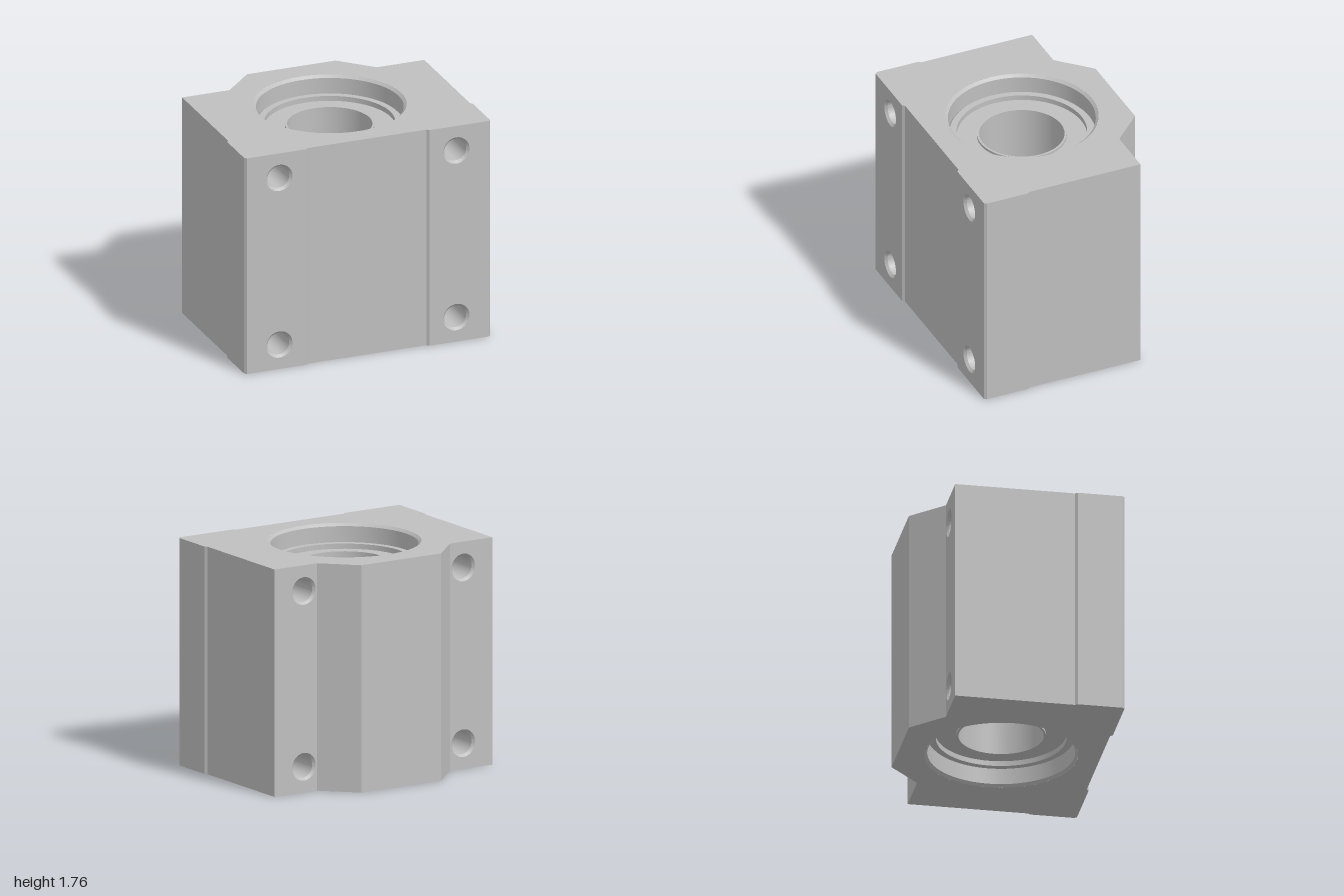
import * as THREE from 'three';
import { toCreasedNormals } from 'three/addons/utils/BufferGeometryUtils.js';

const H = 1.76, FRONT = 0.768, BACK = -0.53, SEG = 72;
const BORE_Z = 0.004, BORE_R = 0.58, HOLE_R = 0.107, HOLE_X = 0.72, HOLE_Y = [0.2, 1.56];

// Right half of the block's plan [x, z], from front to back
const half = [
  [0.485, 0.75], [0.503, FRONT], [0.985, FRONT], [1, 0.75], [1, 0.41],
  [0.985, 0.39], [0.985, BACK], [0.6, BACK], [0.36, -0.77],
];
const outline = [...half, ...half.map(([x, z]) => [-x, z]).reverse()];

const circle = (x, y, r) => new THREE.Path().absarc(x, y, r, 0, Math.PI * 2, true);
const vec = ([x, y]) => new THREE.Vector2(x, y);

// Inner surface of revolution, profile [radius, y] listed from top to bottom
const hollow = (profile) =>
  toCreasedNormals(new THREE.LatheGeometry(profile.map(vec), SEG), 0.5);

// Vertical walls of the block, leaving out the drilled faces
function wallGeometry() {
  const pos = [];
  outline.forEach(([ax, az], i) => {
    const [bx, bz] = outline[(i + 1) % outline.length];
    const drilled = az === bz && (az === FRONT || az === BACK);
    if (drilled) return;
    pos.push(ax, 0, az, bx, 0, bz, bx, H, bz, ax, 0, az, bx, H, bz, ax, H, az);
  });
  const g = new THREE.BufferGeometry();
  g.setAttribute('position', new THREE.Float32BufferAttribute(pos, 3));
  g.computeVertexNormals();
  return g;
}

// End face with the bore opening; dir is 1 for the top, -1 for the bottom
function endGeometry(dir) {
  const shape = new THREE.Shape(outline.map(([x, z]) => new THREE.Vector2(x, -dir * z)));
  shape.holes.push(circle(0, -dir * BORE_Z, BORE_R));
  return new THREE.ShapeGeometry(shape, SEG).rotateX(-dir * Math.PI / 2).translate(0, dir > 0 ? H : 0, 0);
}

// Flange face with two screw holes, centred on the holes' x
function flangeGeometry(x0, x1) {
  const shape = new THREE.Shape([[x0, 0], [x1, 0], [x1, H], [x0, H]].map(vec));
  const cx = Math.sign(x0) * HOLE_X;
  HOLE_Y.forEach((y) => shape.holes.push(circle(cx, y, HOLE_R)));
  return new THREE.ShapeGeometry(shape, SEG / 2);
}

export function createModel() {
  const model = new THREE.Group();
  const metal = new THREE.MeshStandardMaterial({ color: 0xbfbfbf });
  metal.name = 'grey metal';
  const add = (name, geometry) => {
    const mesh = new THREE.Mesh(geometry, metal);
    mesh.name = name;
    model.add(mesh);
    return mesh;
  };

  add('blockWalls', wallGeometry());
  add('blockTop', endGeometry(1));
  add('blockBottom', endGeometry(-1));

  // Bore with a recessed bearing at each end: [radius, depth]
  const end = [
    [BORE_R, 0], [0.558, 0.02], [0.558, 0.155], [0.543, 0.14], [0.493, 0.14],
    [0.493, 0.18], [0.339, 0.18], [0.339, 0.16], [0.322, 0.16],
  ];
  const bore = [...end.map(([r, d]) => [r, H - d]), ...end.slice().reverse()];
  add('bearingBore', hollow(bore)).position.z = BORE_Z;

  // Flange faces and chamfered through holes on both sides
  const mid = (FRONT + BACK) / 2, L = (FRONT - BACK) / 2;
  const screwHole = hollow([[HOLE_R, L], [0.088, L - 0.02], [0.088, -L + 0.02], [HOLE_R, -L]])
    .rotateX(Math.PI / 2);
  for (const s of [1, -1]) {
    const side = s > 0 ? 'left' : 'right';
    add(side + 'FlangeFront', flangeGeometry(s * 0.503, s * 0.985)).position.z = FRONT;
    const back = add(side + 'FlangeBack', flangeGeometry(-s * 0.6, -s * 0.985));
    back.rotation.y = Math.PI;
    back.position.z = BACK;
    HOLE_Y.forEach((y) => add(side + 'ScrewHole', screwHole).position.set(s * HOLE_X, y, mid));
  }
  return model;
}
